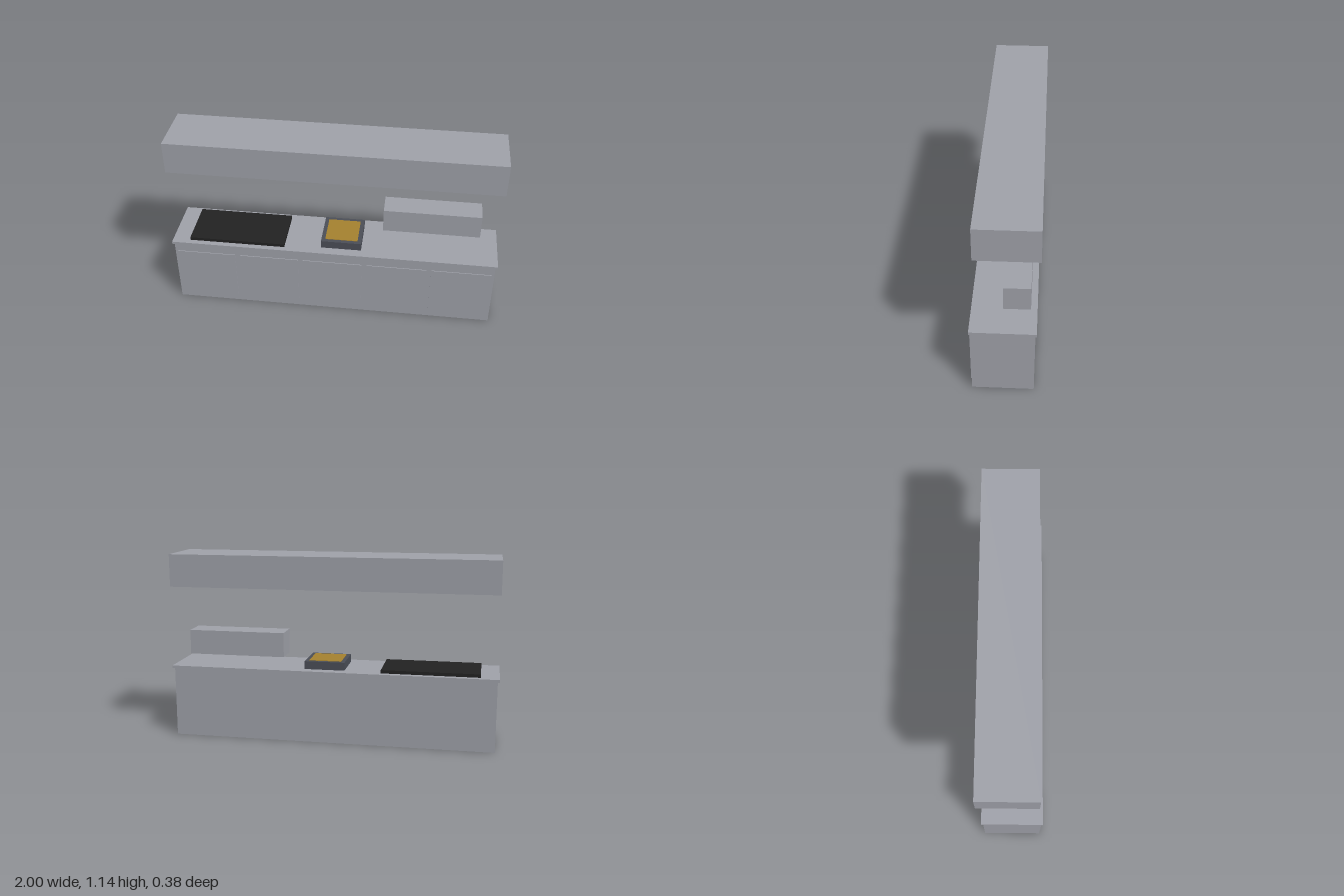
import * as THREE from 'three';

export function createModel() {
  const group = new THREE.Group();
  group.name = 'kitchenCounter';

  const mat = (name, color) => {
    const m = new THREE.MeshStandardMaterial({ color });
    m.name = name;
    return m;
  };
  const steel = mat('steel', 0xa0a2aa);
  const black = mat('griddleBlack', 0x222222);
  const darkGrey = mat('fryerGrey', 0x4b4e57);
  const gold = mat('oilGold', 0xa6822f);

  // Box given by its minimum and maximum on each axis
  const box = (name, material, [x0, x1], [y0, y1], [z0, z1]) => {
    const mesh = new THREE.Mesh(new THREE.BoxGeometry(x1 - x0, y1 - y0, z1 - z0), material);
    mesh.position.set((x0 + x1) / 2, (y0 + y1) / 2, (z0 + z1) / 2);
    mesh.name = name;
    group.add(mesh);
  };

  // Cabinet and worktop
  const half = 0.988;
  box('cabinet', steel, [-half, half], [0, 0.43], [-0.165, 0.182]);
  box('worktop', steel, [-1, 1], [0.43, 0.447], [-0.175, 0.19]);

  // Five thin door panels along the front
  const doors = 5, pitch = (2 * half) / doors, gap = 0.015;
  for (let i = 0; i < doors; i++) {
    const x = -half + i * pitch;
    box(`door${i + 1}`, steel, [x + gap, x + pitch - gap], [0.055, 0.375], [0.182, 0.187]);
  }

  // Appliances on the worktop
  box('griddle', black, [-0.89, -0.3], [0.447, 0.467], [-0.14, 0.157]);
  box('fryer', darkGrey, [-0.075, 0.172], [0.447, 0.496], [-0.115, 0.132]);
  box('fryerOil', gold, [-0.051, 0.148], [0.496, 0.499], [-0.091, 0.108]);

  // Floating shelf unit and overhead extractor hood
  box('shelf', steel, [0.295, 0.888], [0.521, 0.67], [-0.14, 0.009]);
  box('hood', steel, [-half, half], [0.943, 1.14], [-0.19, 0.157]);

  return group;
}
